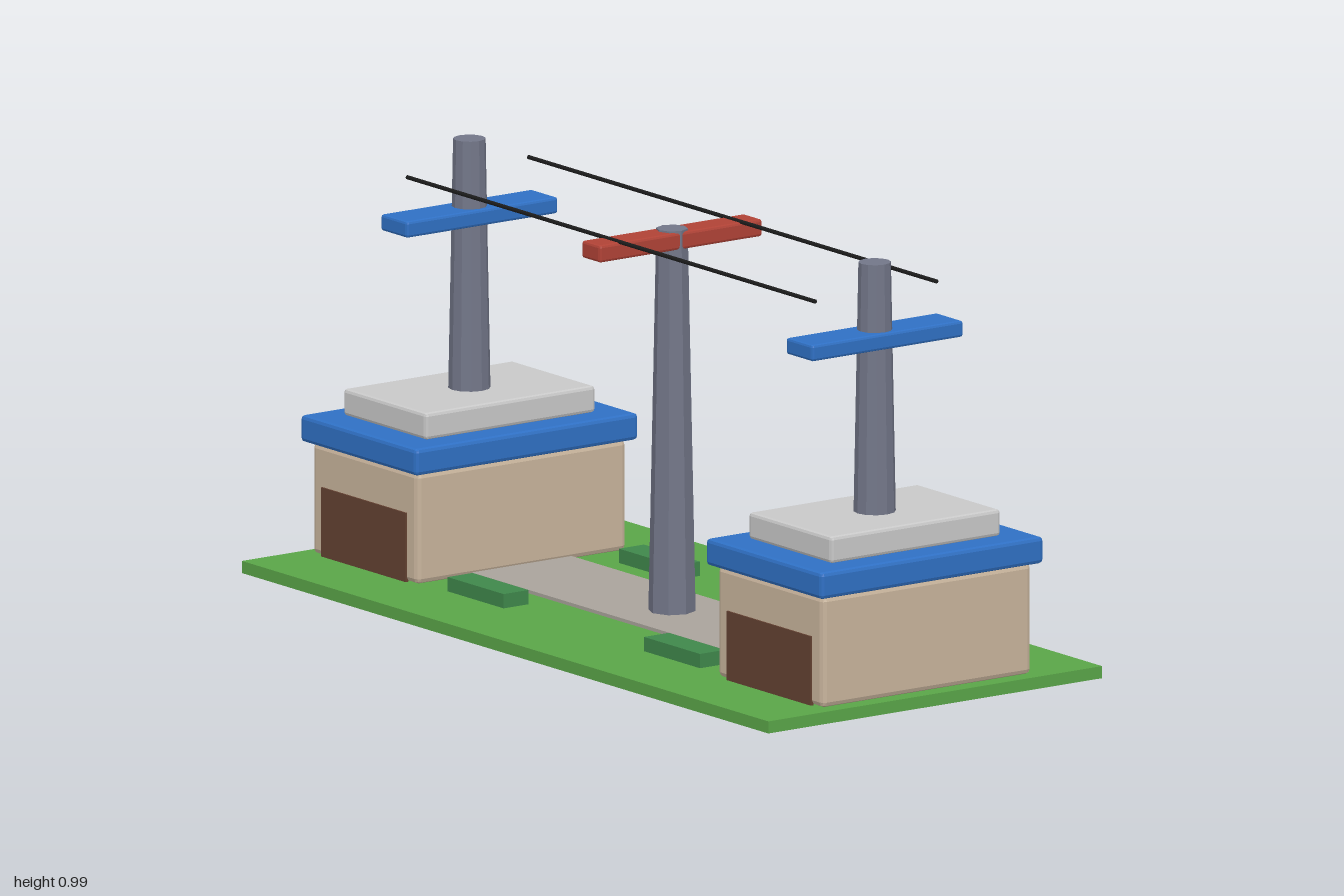
import * as THREE from 'three';
import { RoundedBoxGeometry } from 'three/addons/geometries/RoundedBoxGeometry.js';

const material = (name, color) => {
  const m = new THREE.MeshStandardMaterial({ color });
  m.name = name;
  return m;
};

export function createModel() {
  const grass = material('grass green', 0x5aa548);
  const stone = material('path grey', 0xa9a39b);
  const wall = material('wall tan', 0xc8b49c);
  const blue = material('trim blue', 0x2f70c4);
  const red = material('crossarm red', 0xb04236);
  const steel = material('steel grey', 0x727688);
  const brown = material('door brown', 0x644232);
  const hedgeGreen = material('hedge green', 0x3f874b);
  const concrete = material('concrete grey', 0xc8c8c8);
  const black = material('cable black', 0x1c1c1c);

  const model = new THREE.Group();
  model.name = 'cableStations';

  const add = (parent, name, geometry, mat, x, y, z) => {
    const mesh = new THREE.Mesh(geometry, mat);
    mesh.name = name;
    mesh.position.set(x, y, z);
    parent.add(mesh);
    return mesh;
  };

  // Box standing on y0, with an optional chamfer on every edge
  const block = (parent, name, mat, [w, h, d], [x, y0, z], bevel = 0) => {
    let geometry = new THREE.BoxGeometry(w, h, d);
    if (bevel) {
      geometry = new RoundedBoxGeometry(w, h, d, 1, bevel);
      geometry.computeVertexNormals();
    }
    return add(parent, name, geometry, mat, x, y0 + h / 2, z);
  };

  // Tapered faceted pole between two heights
  const pole = (parent, name, top, bottom, y0, y1, sides) => {
    const geometry = new THREE.CylinderGeometry(top, bottom, y1 - y0, sides).toNonIndexed();
    geometry.computeVertexNormals();
    return add(parent, name, geometry, steel, 0, (y0 + y1) / 2, 0);
  };

  // Ground and path
  block(model, 'ground', grass, [2, 0.028, 0.935], [0, 0, 0]);
  block(model, 'path', stone, [1.16, 0.01, 0.28], [0, 0.026, 0]);

  // End stations
  for (const side of [-1, 1]) {
    const station = new THREE.Group();
    station.name = side > 0 ? 'leftStation' : 'rightStation';
    station.position.x = side * 0.77;
    model.add(station);
    block(station, 'hall', wall, [0.4, 0.257, 0.586], [0, 0.028, 0], 0.012);
    block(station, 'door', brown, [0.32, 0.16, 0.008], [0, 0.028, 0.293]);
    block(station, 'roof', blue, [0.44, 0.062, 0.624], [0, 0.285, 0], 0.009);
    block(station, 'roofCap', concrete, [0.315, 0.062, 0.476], [0, 0.347, 0], 0.008);
    pole(station, 'mast', 0.037, 0.048, 0.405, 0.985, 12);
    block(station, 'mastArm', blue, [0.1, 0.038, 0.424], [0, 0.791, 0], 0.006);

    // Hedges beside the path
    for (const z of [-0.24, 0.24]) {
      block(model, 'hedge', hedgeGreen, [0.213, 0.034, 0.07], [side * 0.373, 0.027, z]);
    }
  }

  // Central pylon
  const pylon = new THREE.Group();
  pylon.name = 'centralPylon';
  model.add(pylon);
  pole(pylon, 'pylonMast', 0.036, 0.054, 0.03, 0.92, 8);
  block(pylon, 'pylonArm', red, [0.07, 0.04, 0.456], [0, 0.876, 0], 0.006);

  // Cables strung along x
  for (const z of [-0.17, 0.17]) {
    const cable = add(model, 'cable', new THREE.CylinderGeometry(0.005, 0.005, 1.55, 8), black, 0, 0.917, z);
    cable.rotation.z = Math.PI / 2;
  }

  return model;
}
